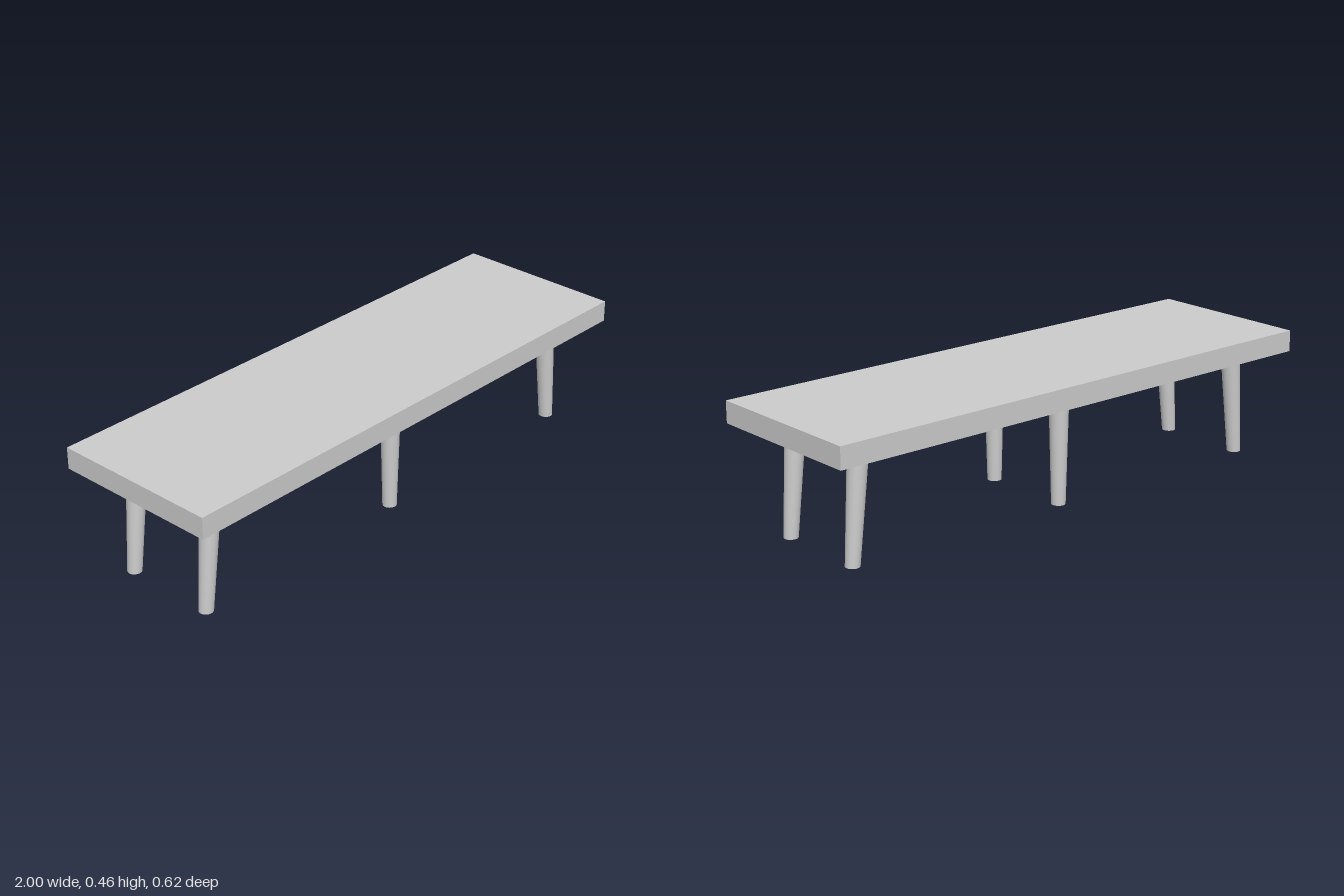
import * as THREE from 'three';

const LEG_HEIGHT = 0.384;
const TOP_THICKNESS = 0.077;

export function createModel() {
  const model = new THREE.Group();
  model.name = 'bench';
  const material = new THREE.MeshStandardMaterial({ color: 0xcccccc });

  // Slab top
  const top = new THREE.Mesh(new THREE.BoxGeometry(2, TOP_THICKNESS, 0.616), material);
  top.name = 'benchTop';
  top.position.y = LEG_HEIGHT + TOP_THICKNESS / 2;
  model.add(top);

  // Tapered leg, sheared sideways so both ends stay level
  function addLeg(name, footX, topX, z) {
    const geometry = new THREE.CylinderGeometry(0.035, 0.025, LEG_HEIGHT, 32);
    geometry.translate(0, LEG_HEIGHT / 2, 0);
    const lean = (topX - footX) / LEG_HEIGHT;
    geometry.applyMatrix4(new THREE.Matrix4().makeShear(0, 0, lean, 0, 0, 0));
    const leg = new THREE.Mesh(geometry, material);
    leg.name = name;
    leg.position.set(footX, 0, z);
    model.add(leg);
  }

  // Three pairs: the outer ones splay outward, the middle ones are upright
  const pairs = [['right', -0.873, -0.838], ['middle', -0.004, -0.004], ['left', 0.865, 0.832]];
  for (const [place, footX, topX] of pairs) {
    addLeg(`${place}FrontLeg`, footX, topX, 0.168);
    addLeg(`${place}BackLeg`, footX, topX, -0.168);
  }
  return model;
}
